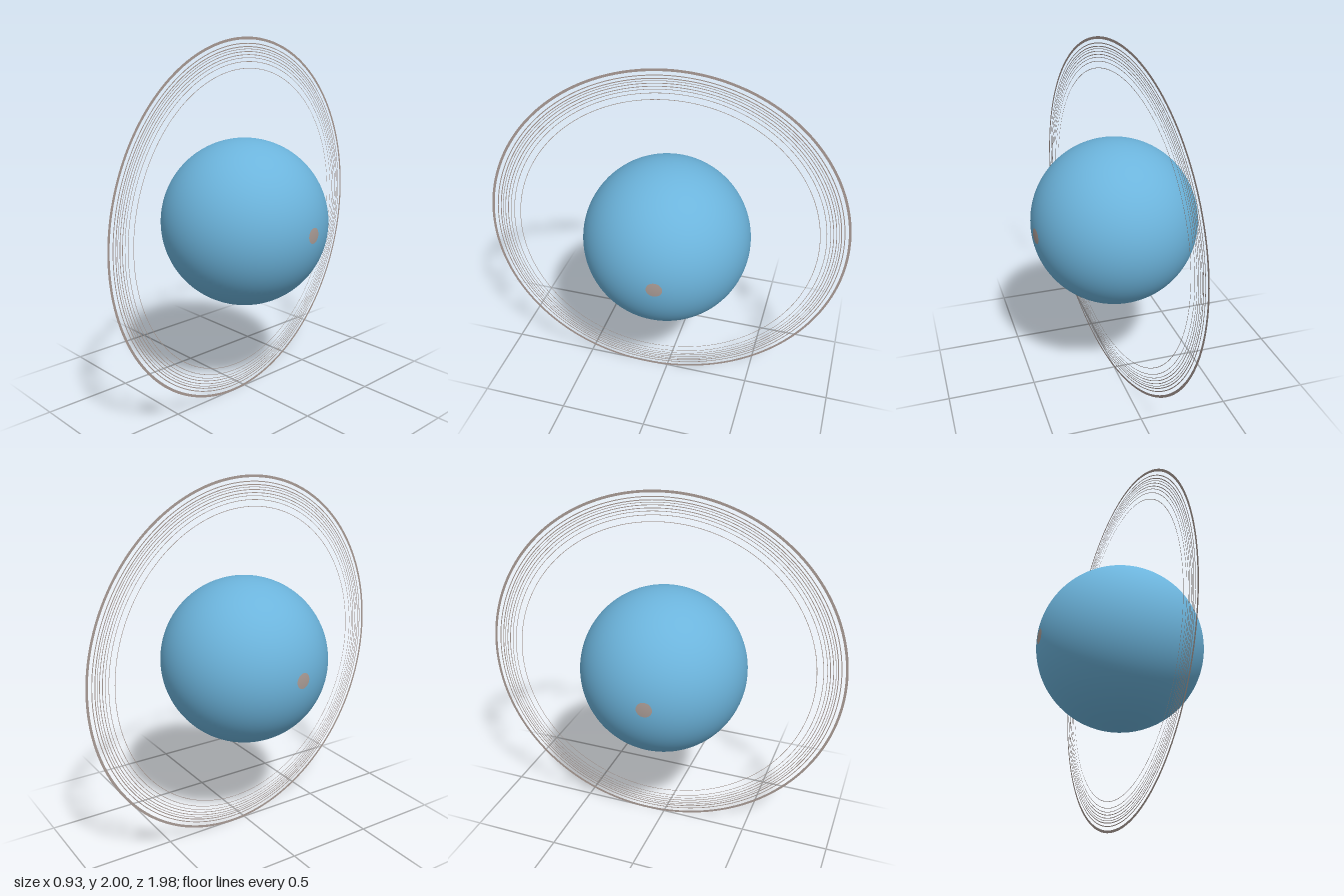
import * as THREE from 'three';

export function createModel() {
  const model = new THREE.Group();
  model.name = 'ringedPlanet';

  const blue = new THREE.MeshStandardMaterial({ color: 0x6cb4dc });
  blue.name = 'planet blue';
  const warmGrey = new THREE.MeshStandardMaterial({ color: 0xaa9c96, side: THREE.DoubleSide });
  warmGrey.name = 'warm grey';

  // Everything is built around a vertical axis, then tipped on its side
  const tilted = new THREE.Group();
  tilted.name = 'tiltedAxis';
  tilted.position.y = 1;
  tilted.rotation.set(0, THREE.MathUtils.degToRad(7.77), -Math.PI / 2);
  model.add(tilted);

  const add = (name, geometry, material) => {
    const mesh = new THREE.Mesh(geometry, material);
    mesh.name = name;
    tilted.add(mesh);
    return mesh;
  };

  // Planet
  const R = 0.464;
  add('planet', new THREE.SphereGeometry(R, 96, 64), blue);

  // Small spots at both poles
  for (const [name, flip] of [['polarSpotLeft', 0], ['polarSpotRight', Math.PI]]) {
    const cap = new THREE.SphereGeometry(R + 0.001, 32, 4, 0, Math.PI * 2, 0, 0.092);
    add(name, cap, warmGrey).rotation.x = flip;
  }

  // Thin flat rings: [outer radius, width]
  const rings = [
    [0.838, 0.003], [0.873, 0.003], [0.893, 0.003], [0.909, 0.004], [0.925, 0.004],
    [0.938, 0.003], [0.951, 0.005], [0.968, 0.005], [1.0, 0.014],
  ];
  rings.forEach(([outer, width], i) => {
    const ring = new THREE.RingGeometry(outer - width, outer, 192, 1);
    ring.rotateX(-Math.PI / 2);
    add(`ring${i + 1}`, ring, warmGrey);
  });

  return model;
}
